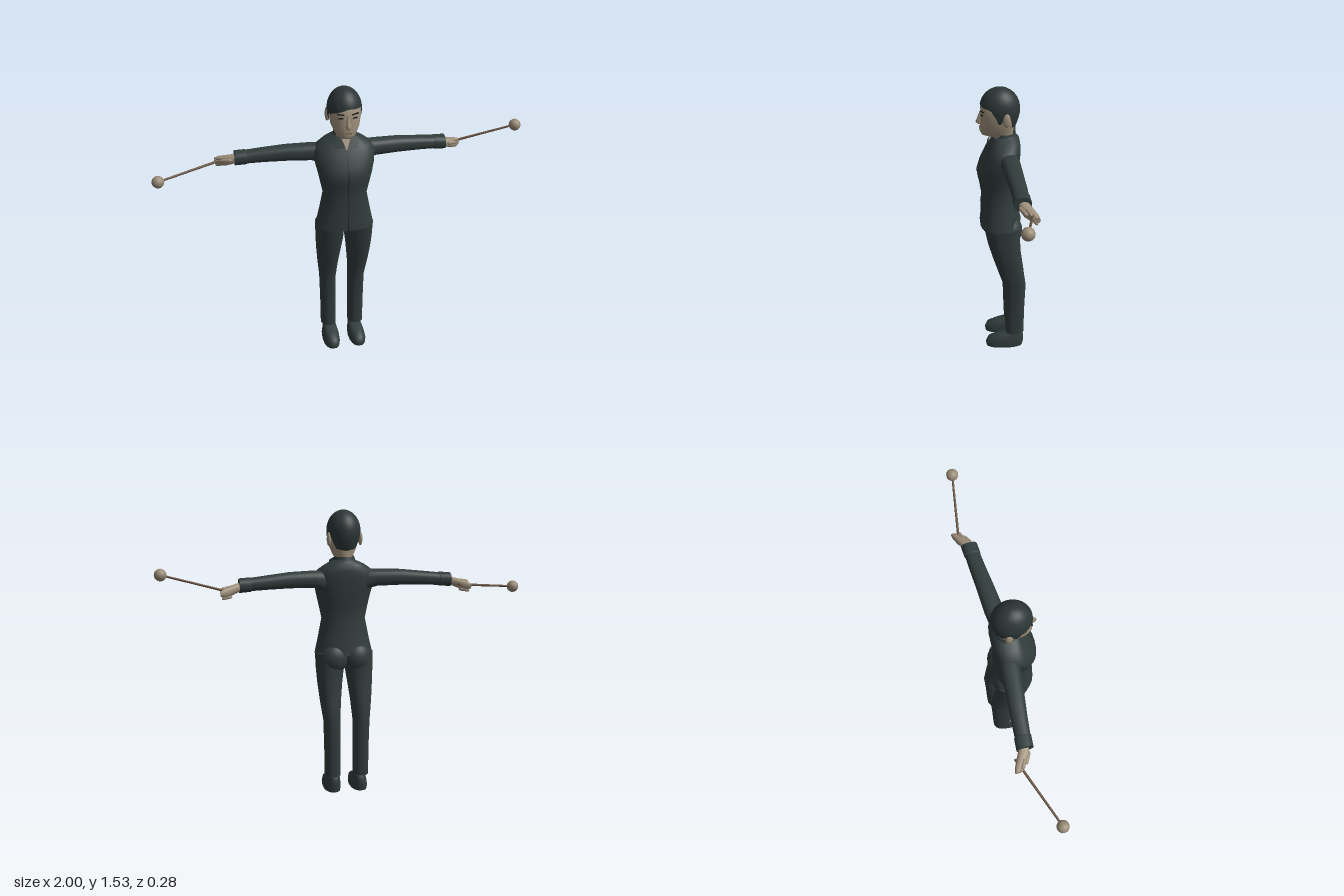
import * as THREE from 'three';

const material = (name, color, side = THREE.FrontSide) => {
  const m = new THREE.MeshStandardMaterial({ color, side });
  m.name = name;
  return m;
};

// Closed skin through rounded rings, bottom to top: [y, xCentre, xRadius, zFront, zBack]
function loft(rings, p = 2.4, n = 28) {
  const pos = [], idx = [];
  const bend = (v) => Math.sign(v) * Math.abs(v) ** (2 / p);
  const ring = ([y, xc, rx, zf, zb]) => {
    for (let i = 0; i < n; i++) {
      const a = (i / n) * Math.PI * 2;
      pos.push(xc + rx * bend(Math.sin(a)), y, (zf + zb) / 2 + ((zf - zb) / 2) * bend(Math.cos(a)));
    }
  };
  rings.forEach(ring);
  for (let r = 0; r < rings.length - 1; r++)
    for (let i = 0; i < n; i++) {
      const j = (i + 1) % n, a = r * n + i, b = r * n + j;
      idx.push(a, b, b + n, a, b + n, a + n);
    }
  // Flat end caps with their own vertices
  [[rings[0], false], [rings[rings.length - 1], true]].forEach(([end, top]) => {
    const base = pos.length / 3;
    ring(end);
    pos.push(end[1], end[0], (end[3] + end[4]) / 2);
    for (let i = 0; i < n; i++) {
      const a = base + i, b = base + ((i + 1) % n);
      idx.push(base + n, top ? a : b, top ? b : a);
    }
  });
  return surface(pos, idx);
}

function surface(pos, idx) {
  const g = new THREE.BufferGeometry();
  g.setAttribute('position', new THREE.Float32BufferAttribute(pos, 3));
  g.setIndex(idx);
  g.computeVertexNormals();
  return g;
}

// The same rings laid along +x: [x, height, halfHeight, zFront, zBack]
const loftAlongX = (rings) =>
  loft(rings.map(([x, h, r, f, b]) => [x, -h, r, f, b])).rotateZ(-Math.PI / 2);

function mirrored(geo) {
  const g = geo.clone().scale(-1, 1, 1), ix = g.index;
  for (let i = 0; i < ix.count; i += 3) {
    const t = ix.getX(i);
    ix.setX(i, ix.getX(i + 1));
    ix.setX(i + 1, t);
  }
  g.computeVertexNormals();
  return g;
}

const ellipsoid = (x, y, z, rx, ry, rz) =>
  new THREE.SphereGeometry(1, 20, 14).scale(rx, ry, rz).translate(x, y, z);

// Hair cap whose lower edge follows the fringe, sideburns, ears and nape
function hairCap() {
  const edge = [[0, 1.442], [0.6, 1.43], [0.95, 1.425], [1.3, 1.405], [1.5, 1.35], [1.65, 1.365],
    [1.85, 1.41], [2.1, 1.39], [2.35, 1.33], [3.15, 1.32]];
  const lowest = (a) => {
    const k = Math.max(1, edge.findIndex((e) => e[0] >= a));
    const [a0, y0] = edge[k - 1], [a1, y1] = edge[k];
    return y0 + ((y1 - y0) * (a - a0)) / (a1 - a0);
  };
  const n = 56, rows = 14, pos = [], idx = [];
  for (let r = 0; r <= rows; r++)
    for (let i = 0; i < n; i++) {
      const a = (i / n) * Math.PI * 2;
      let e = lowest(Math.min(a, Math.PI * 2 - a));
      if (Math.cos(a) > 0.4) e += 0.014 * Math.sin(a);
      const y = e + (1.53 - e) * Math.cos((r / rows) * Math.PI / 2);
      const f = y > 1.42 ? Math.sqrt(Math.max(0, 1 - ((y - 1.42) / 0.11) ** 2))
        : 1 - 0.25 * ((1.42 - y) / 0.1) ** 2;
      pos.push(0.09 * f * Math.sin(a), y, 0.017 + 0.104 * f * Math.cos(a));
      if (r < rows) {
        const b = r * n + ((i + 1) % n), c = r * n + i;
        idx.push(c, c + n, b + n, c, b + n, b);
      }
    }
  return surface(pos, idx);
}

export function createModel() {
  const root = new THREE.Group();
  root.name = 'performer';
  const cloth = material('darkCloth', 0x313c3b, THREE.DoubleSide);
  const hair = material('darkHair', 0x2c3635, THREE.DoubleSide);
  const skin = material('skin', 0x9f907b, THREE.DoubleSide);
  const wood = material('rodWood', 0x66523f);
  const ballTan = material('ballTan', 0x9a8c78);
  const ink = material('darkDetail', 0x1b2120, THREE.DoubleSide);
  const lip = material('lips', 0x7d6656);

  const add = (name, geo, mat) => {
    const m = new THREE.Mesh(geo, mat);
    m.name = name;
    root.add(m);
  };
  const pair = (name, geo, mat) => {
    add(name + 'Left', geo, mat);
    add(name + 'Right', mirrored(geo), mat);
  };

  // Jacket
  const torso = [
    [0.76, 0, 0.157, 0.125, -0.085], [0.85, 0, 0.137, 0.122, -0.075], [0.95, 0, 0.117, 0.118, -0.065],
    [1.02, 0, 0.132, 0.13, -0.07], [1.07, 0, 0.143, 0.14, -0.08], [1.12, 0, 0.155, 0.125, -0.085],
    [1.18, 0, 0.165, 0.095, -0.09], [1.215, 0, 0.148, 0.075, -0.09], [1.245, 0, 0.105, 0.06, -0.085],
    [1.265, 0, 0.062, 0.05, -0.072], [1.272, 0, 0.054, 0.045, -0.062]];
  add('jacket', loft(torso), cloth);
  const seam = [], seamIdx = [];
  torso.slice(0, 8).forEach(([y, , , z], i) => {
    seam.push(-0.002, y, z + 0.002, 0.002, y, z + 0.002);
    if (i) seamIdx.push(2 * i - 2, 2 * i - 1, 2 * i + 1, 2 * i - 2, 2 * i + 1, 2 * i);
  });
  add('jacketSeam', surface(seam, seamIdx), ink);

  // Open neckline and collar
  add('neckOpening', surface([0, 1.207, 0.085, 0.036, 1.272, 0.054, -0.036, 1.272, 0.054], [0, 1, 2]), skin);
  pair('collarFlap', surface([0.032, 1.285, 0.052, 0.006, 1.222, 0.084, 0.062, 1.215, 0.081, 0.072, 1.262, 0.048],
    [0, 1, 2, 0, 2, 3]), cloth);
  add('collarBand', new THREE.CylinderGeometry(0.052, 0.064, 0.04, 24, 1, true, 1.0, Math.PI * 2 - 2.0)
    .translate(0, 1.267, -0.008), cloth);

  // Trousers and shoes
  pair('trouserLeg', loft([
    [0.09, 0.078, 0.042, -0.01, -0.112], [0.25, 0.079, 0.043, -0.004, -0.115], [0.4, 0.081, 0.045, 0, -0.121],
    [0.5, 0.084, 0.055, 0.033, -0.107], [0.6, 0.083, 0.066, 0.065, -0.092],
    [0.68, 0.08, 0.074, 0.088, -0.088], [0.77, 0.078, 0.078, 0.107, -0.085]]), cloth);
  pair('seat', ellipsoid(0.062, 0.74, -0.035, 0.076, 0.082, 0.065), cloth);
  pair('shoe', loft([
    [0, 0.075, 0.045, 0.098, -0.105], [0.02, 0.075, 0.047, 0.102, -0.11], [0.048, 0.074, 0.043, 0.09, -0.11],
    [0.07, 0.073, 0.037, 0.04, -0.109], [0.085, 0.072, 0.031, -0.03, -0.1]]), cloth);

  // Sleeves and cuffs
  pair('sleeve', loftAlongX([
    [0.11, 1.163, 0.055, 0.025, -0.07], [0.17, 1.172, 0.045, 0.02, -0.08], [0.3, 1.172, 0.042, 0.005, -0.086],
    [0.42, 1.165, 0.037, -0.01, -0.094], [0.56, 1.155, 0.032, -0.024, -0.1]]), cloth);
  pair('cuff', loftAlongX([
    [0.505, 1.158, 0.034, -0.018, -0.099], [0.51, 1.158, 0.037, -0.016, -0.102],
    [0.568, 1.155, 0.037, -0.02, -0.106]]), cloth);

  // Hands with curled fingers
  pair('hand', loftAlongX([
    [0.55, 1.152, 0.02, -0.04, -0.088], [0.585, 1.143, 0.024, -0.045, -0.105],
    [0.615, 1.133, 0.026, -0.06, -0.12], [0.645, 1.126, 0.024, -0.088, -0.134],
    [0.668, 1.124, 0.014, -0.112, -0.138]]), skin);
  for (let i = 0; i < 4; i++)
    pair('finger' + (i + 1), new THREE.CapsuleGeometry(0.009, 0.04, 4, 8).rotateZ(Math.PI / 2 - 0.12)
      .rotateY(0.35).translate(0.635 + 0.008 * Math.sin(i), 1.148 - i * 0.015, -0.087 - i * 0.009), skin);
  pair('thumb', new THREE.CapsuleGeometry(0.01, 0.045, 4, 8).rotateZ(Math.PI / 2 - 0.2)
    .rotateY(0.5).translate(0.612, 1.142, -0.062), skin);

  // Rods tipped with balls
  [['Left', [0.61, 1.127, -0.108], [0.965, 1.221, -0.055]],
    ['Right', [-0.6, 1.133, -0.121], [-0.968, 1.09, 0.02]]].forEach(([side, from, to]) => {
    const a = new THREE.Vector3(...from), b = new THREE.Vector3(...to), d = b.clone().sub(a);
    const turn = new THREE.Quaternion().setFromUnitVectors(new THREE.Vector3(0, 1, 0), d.clone().normalize());
    const mid = a.add(b).multiplyScalar(0.5);
    add('rod' + side, new THREE.CylinderGeometry(0.0055, 0.007, d.length(), 10)
      .applyQuaternion(turn).translate(mid.x, mid.y, mid.z), wood);
    add('ball' + side, ellipsoid(...to, 0.032, 0.032, 0.032), ballTan);
  });

  // Head, neck and hair
  add('head', loft([
    [1.21, 0, 0.05, 0.045, -0.05], [1.258, 0, 0.045, 0.05, -0.05], [1.272, 0, 0.045, 0.075, -0.05],
    [1.281, 0, 0.047, 0.112, -0.052], [1.3, 0, 0.057, 0.122, -0.054], [1.34, 0, 0.074, 0.119, -0.056],
    [1.39, 0, 0.082, 0.118, -0.064], [1.43, 0, 0.082, 0.114, -0.07], [1.47, 0, 0.069, 0.093, -0.06],
    [1.49, 0, 0.05, 0.075, -0.042]], 2.2), skin);
  add('hair', hairCap(), hair);
  pair('ear', ellipsoid(0.085, 1.38, -0.015, 0.011, 0.037, 0.02).rotateX(0), skin);

  // Face
  add('nose', loft([[1.336, 0, 0.01, 0.132, 0.1], [1.346, 0, 0.015, 0.143, 0.1],
    [1.36, 0, 0.011, 0.136, 0.1], [1.405, 0, 0.007, 0.12, 0.1]], 2, 12), skin);
  pair('eyebrow', new THREE.BoxGeometry(0.038, 0.006, 0.006).rotateZ(0.1).rotateY(0.33)
    .translate(0.038, 1.414, 0.109), ink);
  pair('eye', new THREE.BoxGeometry(0.026, 0.007, 0.006).rotateY(0.33).translate(0.036, 1.394, 0.11), ink);
  add('mouth', new THREE.BoxGeometry(0.034, 0.007, 0.008).translate(0, 1.314, 0.119), lip);

  return root;
}
